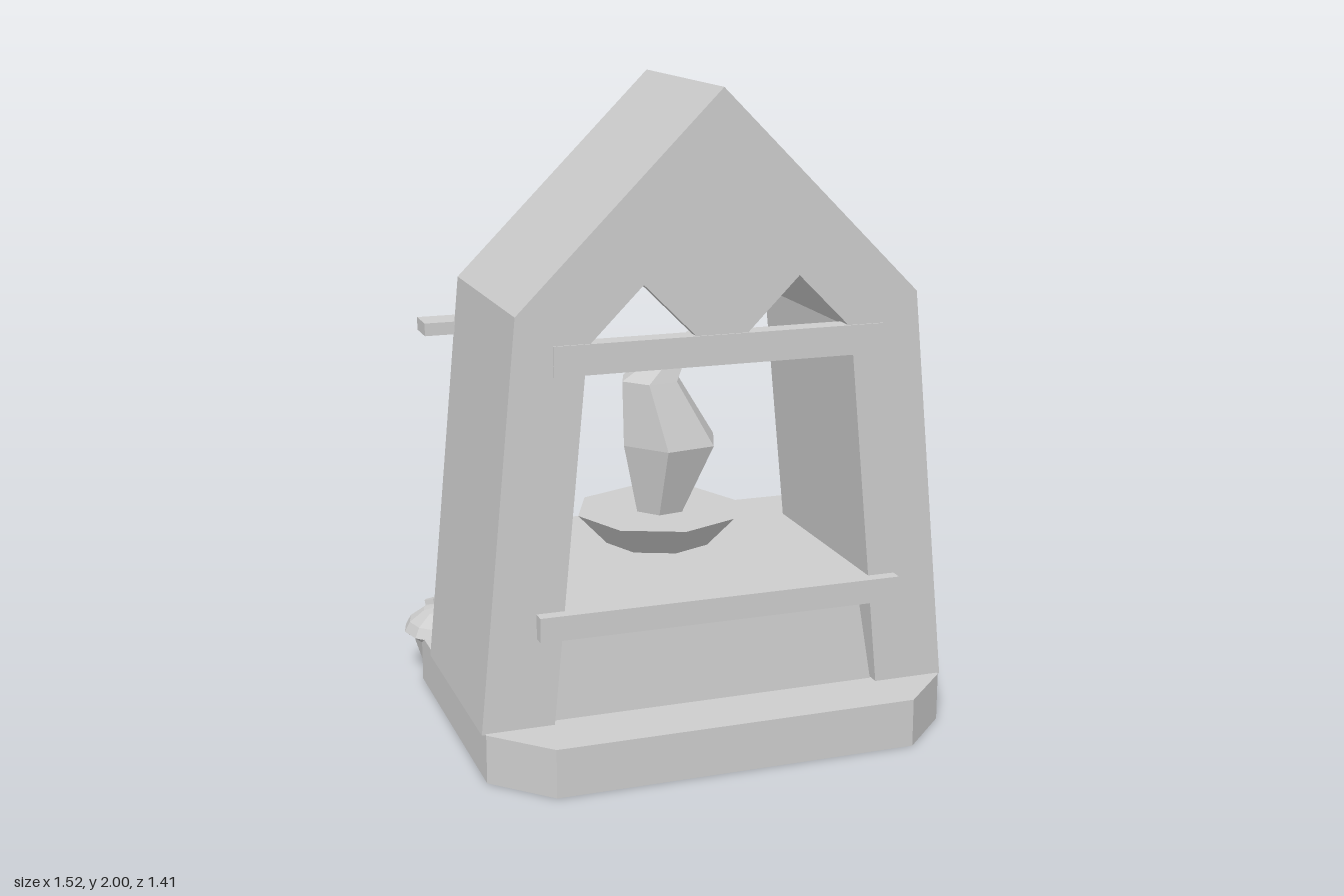
import * as THREE from 'three';

const stone = new THREE.MeshStandardMaterial({ color: 0xcccccc, flatShading: true, side: THREE.DoubleSide });
stone.name = 'pale grey stone';

// Flat-shaded skin over rings of [x, y, z] points, counter-clockwise from above
function loft(rings, capBottom = true) {
  const pos = [];
  const tri = (...pts) => pts.forEach((p) => pos.push(...p));
  for (let r = 0; r < rings.length - 1; r++) {
    const a = rings[r], b = rings[r + 1], n = a.length;
    for (let i = 0; i < n; i++) {
      const j = (i + 1) % n;
      tri(a[i], a[j], b[j]);
      tri(a[i], b[j], b[i]);
    }
  }
  const low = rings[0], top = rings[rings.length - 1];
  for (let i = 1; i < top.length - 1; i++) {
    tri(top[0], top[i], top[i + 1]);
    if (capBottom) tri(low[0], low[i + 1], low[i]);
  }
  const g = new THREE.BufferGeometry();
  g.setAttribute('position', new THREE.Float32BufferAttribute(pos, 3));
  g.computeVertexNormals();
  return g;
}

const rectRing = (y, hx, hz, cz) => [[hx, y, cz + hz], [hx, y, cz - hz], [-hx, y, cz - hz], [-hx, y, cz + hz]];

const octRing = (y, hx, hz, c, cz) => [
  [hx, y, hz - c], [hx, y, c - hz], [hx - c, y, -hz], [c - hx, y, -hz],
  [-hx, y, c - hz], [-hx, y, hz - c], [c - hx, y, hz], [hx - c, y, hz],
].map(([x, h, z]) => [x, h, z + cz]);

// House-shaped arch between two inward offsets of the outer gable
function arch(outer, inner, bottom, zBack, zFront) {
  const slope = 0.0976;
  const outline = (d) => {
    const apex = 2 - d * Math.SQRT2;
    const foot = 0.74 - d * 1.005;
    const eave = (foot - slope * (apex - 0.15)) / (1 - slope);
    const base = foot - slope * (bottom - 0.15);
    return [[-base, bottom], [-eave, apex - eave], [0, apex], [eave, apex - eave], [base, bottom]];
  };
  const pts = [...outline(outer).reverse(), ...outline(inner)];
  const shape = new THREE.Shape(pts.map(([x, y]) => new THREE.Vector2(x, y)));
  return new THREE.ExtrudeGeometry(shape, { depth: zFront - zBack, bevelEnabled: false }).translate(0, 0, zBack);
}

export function createModel() {
  const model = new THREE.Group();
  model.name = 'shrine';
  const body = new THREE.Group();
  body.name = 'shrineBody';
  body.position.x = 0.01;
  model.add(body);

  const add = (name, geometry, parent = body) => {
    const m = new THREE.Mesh(geometry, stone);
    m.name = name;
    parent.add(m);
    return m;
  };
  // Box given by its limits
  const box = (name, x0, x1, y0, y1, z0, z1) =>
    add(name, new THREE.BoxGeometry(x1 - x0, y1 - y0, z1 - z0)
      .translate((x0 + x1) / 2, (y0 + y1) / 2, (z0 + z1) / 2));

  // Hollow plinth, open underneath, and the steps at the back
  add('plinth', loft([octRing(0, 0.73, 0.595, 0.165, 0.11), octRing(0.15, 0.73, 0.595, 0.165, 0.11)], false));
  box('upperStep', -0.41, 0.41, 0.075, 0.15, -0.585, -0.45);
  box('lowerStep', -0.45, 0.45, 0, 0.075, -0.71, -0.45);

  // Gabled shell with a raised frame around the back opening
  add('shell', arch(0, 0.22, 0.147, -0.148, 0.53));
  add('backFrame', arch(0.078, 0.15, 0.2, -0.183, -0.14));

  // Front lintel and the diamond panel above it
  box('frontLintel', -0.51, 0.51, 1.2, 1.29, 0.47, 0.535);
  const diamond = add('gablePanel', new THREE.BoxGeometry(0.34, 0.34, 0.04));
  diamond.position.set(0, 1.45, 0.51);
  diamond.rotation.z = Math.PI / 4;

  // Bracket on the back with a hanging lozenge
  box('signBracket', -0.73, -0.41, 1.2, 1.24, -0.248, -0.14);
  const lozenge = new THREE.Shape([[0, 0.08], [-0.04, 0], [0, -0.08], [0.04, 0]].map(([x, y]) => new THREE.Vector2(x, y)));
  add('hangingSign', new THREE.ShapeGeometry(lozenge).rotateY(Math.PI)).position.set(-0.57, 1.04, -0.24);

  // Altar
  add('altarBase', loft([rectRing(0.145, 0.515, 0.39, 0.11), rectRing(0.425, 0.475, 0.37, 0.11)]));
  box('altarSlab', -0.57, 0.57, 0.425, 0.5, -0.35, 0.57);

  // Fire bowl
  add('fireBowl', new THREE.CylinderGeometry(0.27, 0.175, 0.1, 8)).position.set(0, 0.55, -0.04);

  // Flame: hexagonal rings that sway towards the tip
  const flame = [[0.59, 0.005, 0.08], [0.827, 0.038, 0.165], [1.035, -0.027, 0.1], [1.195, 0.13, 0.002]];
  add('flame', loft(flame.map(([y, cx, r]) => Array.from({ length: 6 }, (_, i) => {
    const a = (10 + i * 60) * Math.PI / 180;
    return [cx + r * Math.cos(a), y, -0.04 - r * Math.sin(a)];
  }))));

  // Mushrooms beside the steps
  const mushroom = (name, x, z, r, rim, rise) => {
    const g = new THREE.Group();
    g.name = name;
    g.position.set(x, 0, z);
    model.add(g);
    add('stem', new THREE.CylinderGeometry(r * 0.8, r * 0.52, rim, 7).translate(0, rim / 2, 0), g);
    const profile = [[0, 0], [0.85, 0], [1, 0.18], [0.88, 0.5], [0.55, 0.85], [0, 1]]
      .map(([u, v]) => new THREE.Vector2(u * r, rim + v * rise));
    add('cap', new THREE.LatheGeometry(profile, 12), g);
    // Three five-sided spots
    for (let i = 0; i < 3; i++) {
      const a = i * Math.PI * 2 / 3;
      const spot = add('capSpot', new THREE.CylinderGeometry(r * 0.18, r * 0.18, 0.02, 5), g);
      spot.position.set(Math.cos(a) * r * 0.52, rim + rise * 0.9, Math.sin(a) * r * 0.52);
      spot.rotation.set(Math.sin(a) * 0.3, 0, -Math.cos(a) * 0.3);
    }
  };
  mushroom('largeMushroom', -0.617, -0.383, 0.147, 0.13, 0.1);
  mushroom('smallMushroom', 0.652, -0.343, 0.108, 0.115, 0.072);

  return model;
}
